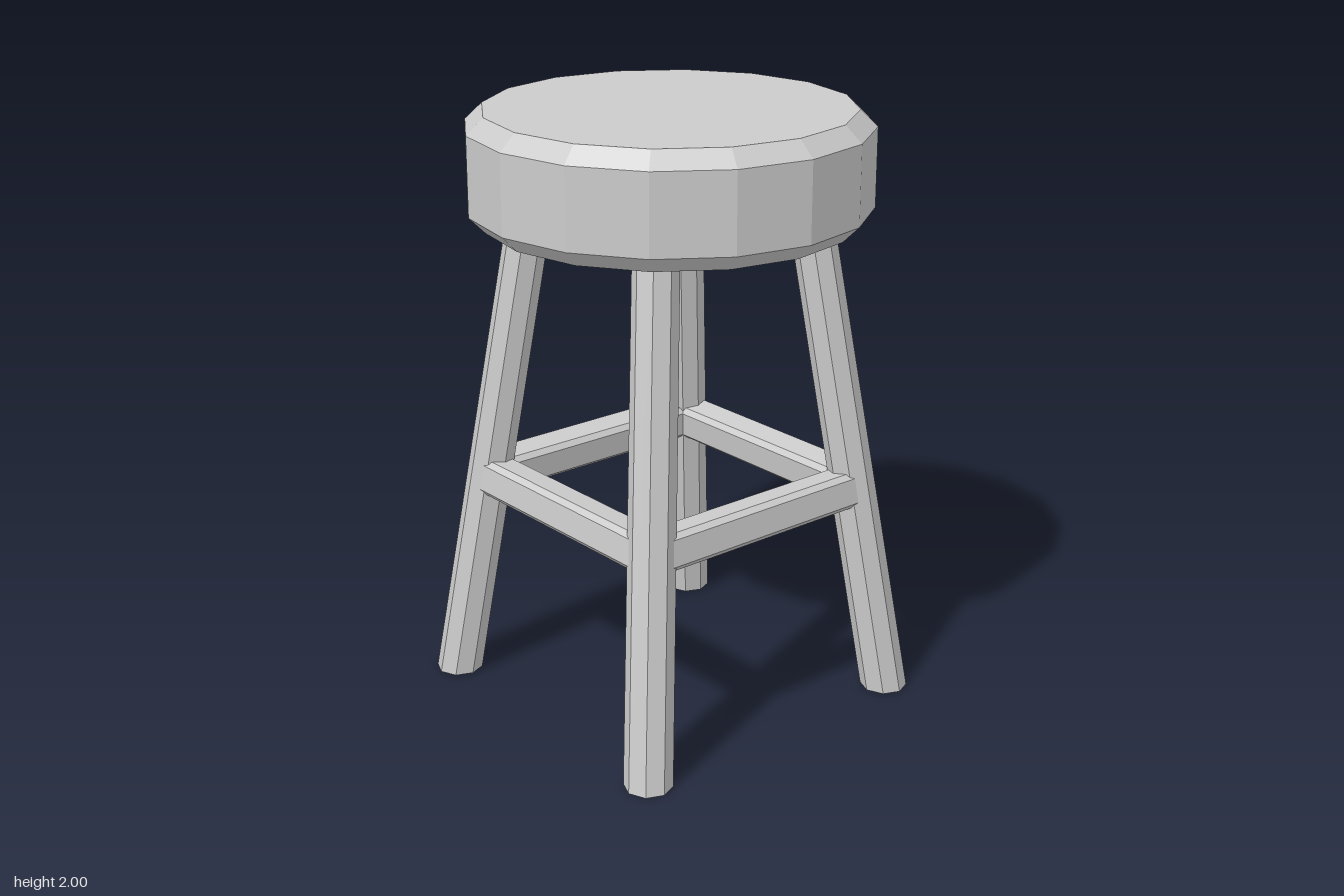
import * as THREE from 'three';

const material = new THREE.MeshStandardMaterial({ color: 0xcccccc, flatShading: true });

const SEAT_BOTTOM = 1.635;
const SLOPE = 0.202 / SEAT_BOTTOM; // how far a leg leans inward per unit of height
const legCentre = (y) => 0.523 - SLOPE * y;

function makeMesh(name, geometry) {
  const mesh = new THREE.Mesh(geometry, material);
  mesh.name = name;
  return mesh;
}

// Sixteen-sided cushion with bevelled rims
function createSeat() {
  const profile = [
    [0, SEAT_BOTTOM], [0.6, SEAT_BOTTOM], [0.653, 1.688],
    [0.653, 1.947], [0.597, 2], [0, 2],
  ].map(([r, y]) => new THREE.Vector2(r, y));
  return makeMesh('seat', new THREE.LatheGeometry(profile, 16));
}

// Octagonal tapered leg, sheared toward the centre so its foot stays level
function createLeg(sx, sz) {
  const height = 1.7;
  const geometry = new THREE.CylinderGeometry(0.073, 0.079, height, 8);
  geometry.translate(0, height / 2, 0);
  const p = geometry.attributes.position;
  for (let i = 0; i < p.count; i++) {
    const c = legCentre(p.getY(i));
    p.setX(i, p.getX(i) + sx * c);
    p.setZ(i, p.getZ(i) + sz * c);
  }
  geometry.computeVertexNormals();
  return makeMesh('leg', geometry);
}

// Chamfered square bar between two legs, tilted to match their lean
function createRail(angle) {
  const y = 0.737, h = 0.06, k = 0.043;
  const c = legCentre(y);
  const section = new THREE.Shape(
    [[h, -k], [h, k], [k, h], [-k, h], [-h, k], [-h, -k], [-k, -h], [k, -h]]
      .map(([a, b]) => new THREE.Vector2(a, b)),
  );
  const geometry = new THREE.ExtrudeGeometry(section, { depth: 2 * c, bevelEnabled: false });
  geometry.translate(0, 0, -c);
  geometry.rotateY(Math.PI / 2);
  geometry.rotateX(-Math.atan(SLOPE));
  geometry.translate(0, y, c);
  geometry.rotateY(angle);
  return makeMesh('rail', geometry);
}

export function createModel() {
  const stool = new THREE.Group();
  stool.name = 'stool';
  stool.add(createSeat());

  for (const sx of [-1, 1]) {
    for (const sz of [-1, 1]) stool.add(createLeg(sx, sz));
  }
  for (let i = 0; i < 4; i++) stool.add(createRail((i * Math.PI) / 2));

  return stool;
}
